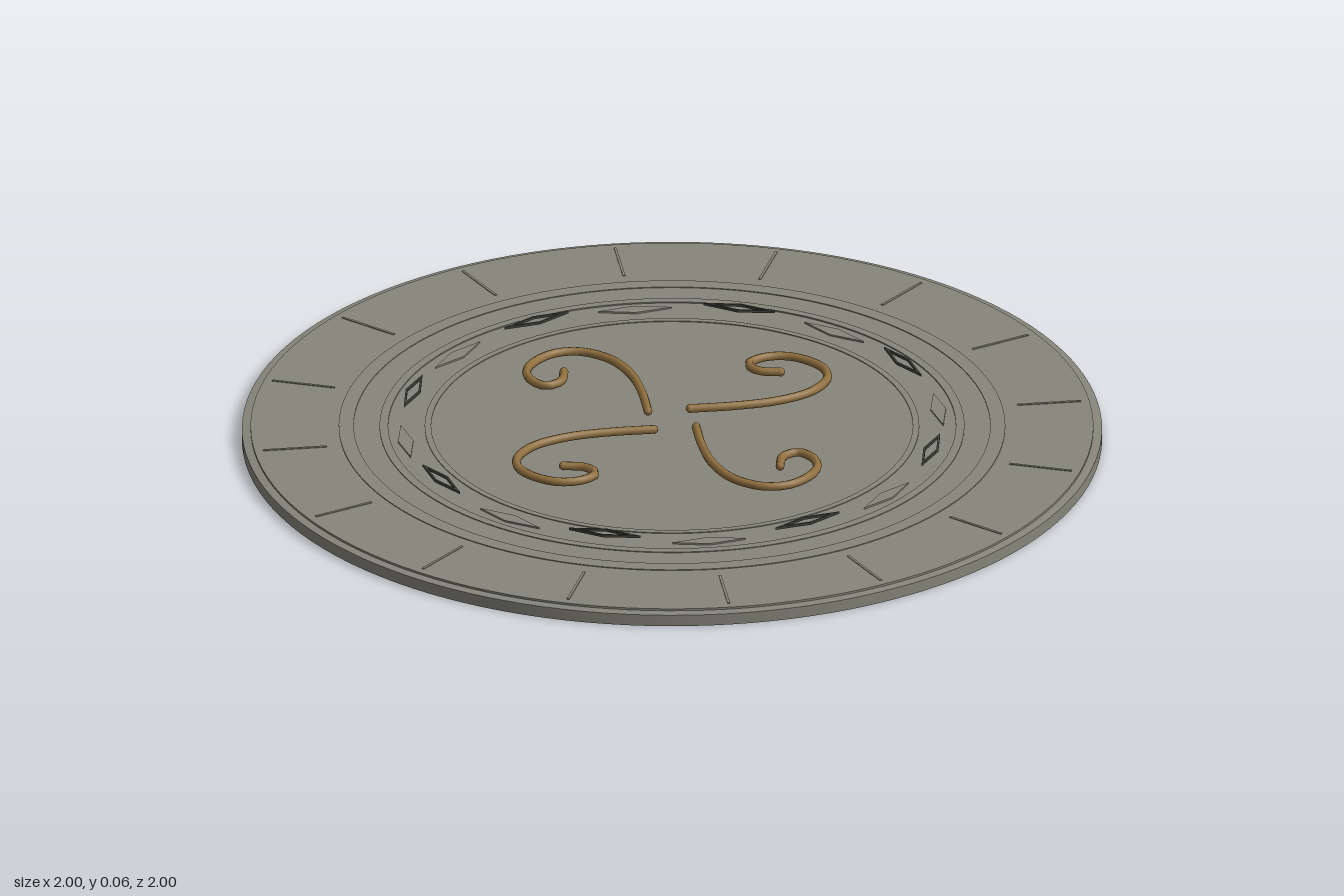
import * as THREE from 'three';
import { toCreasedNormals } from 'three/addons/utils/BufferGeometryUtils.js';

const stone = new THREE.MeshStandardMaterial({ color: 0x87867b });
stone.name = 'stone';
const darkStone = new THREE.MeshStandardMaterial({ color: 0x42423c });
darkStone.name = 'dark stone';
const bronze = new THREE.MeshStandardMaterial({ color: 0x91703f });
bronze.name = 'bronze';

function addMesh(parent, name, geometry, material) {
  const mesh = new THREE.Mesh(geometry, material);
  mesh.name = name;
  parent.add(mesh);
  return mesh;
}

// Four corners of a diamond, long axis along x
function diamondPoints(halfLength, halfWidth) {
  return [[halfLength, 0], [0, halfWidth], [-halfLength, 0], [0, -halfWidth]]
    .map(([x, y]) => new THREE.Vector2(x, y));
}

function diamondGeometry(depth, border) {
  const shape = new THREE.Shape(diamondPoints(0.086, 0.018));
  if (border) shape.holes.push(new THREE.Path(diamondPoints(0.086 - border * 4.5, 0.018 - border)));
  const geometry = new THREE.ExtrudeGeometry(shape, { depth, bevelEnabled: false });
  return geometry.rotateX(-Math.PI / 2);
}

export function createModel() {
  const model = new THREE.Group();
  model.name = 'medallion';

  // Disc with a stepped rim and shallow concentric rings
  const profile = [
    [0, 0], [1, 0], [1, 0.028], [0.98, 0.03], [0.98, 0.035],
    [0.775, 0.035], [0.775, 0.037], [0.74, 0.037], [0.74, 0.035],
    [0.68, 0.035], [0.68, 0.037], [0.66, 0.037], [0.66, 0.034],
    [0.575, 0.034], [0.575, 0.036], [0.56, 0.036], [0.56, 0.034], [0, 0.034],
  ].map(([r, y]) => new THREE.Vector2(r, y));
  addMesh(model, 'disc', toCreasedNormals(new THREE.LatheGeometry(profile, 128), 0.5), stone);

  // Radial ribs on the outer border
  const ribs = new THREE.Group();
  ribs.name = 'radialRibs';
  model.add(ribs);
  const ribGeometry = new THREE.BoxGeometry(0.15, 0.003, 0.006).translate(0.885, 0.0355, 0);
  for (let i = 0; i < 16; i++) {
    addMesh(ribs, 'radialRib', ribGeometry, stone).rotation.y = (i * Math.PI) / 8;
  }

  // Ring of diamonds: flush plates alternating with raised dark frames
  const diamonds = new THREE.Group();
  diamonds.name = 'diamondRing';
  model.add(diamonds);
  const plate = diamondGeometry(0.004, 0).translate(0, 0.034, 0.625);
  const frame = diamondGeometry(0.006, 0.005).translate(0, 0.046, 0.622);
  for (let i = 0; i < 16; i++) {
    const raised = i % 2 === 1;
    const mesh = addMesh(diamonds, raised ? 'diamondFrame' : 'diamondPlate',
      raised ? frame : plate, raised ? darkStone : stone);
    mesh.rotation.y = (i * Math.PI) / 8;
  }

  // Four bronze scrolls turning about the centre
  const scrollPoints = [
    [0, -0.07], [0.07, -0.14], [0.13, -0.215], [0.165, -0.29], [0.17, -0.34],
    [0.158, -0.39], [0.12, -0.428], [0.06, -0.44], [0.005, -0.427], [-0.03, -0.39],
    [-0.036, -0.342], [0.005, -0.327], [0.05, -0.353],
  ].map(([x, z]) => new THREE.Vector3(x, 0.053, z));
  const curve = new THREE.CurvePath();
  for (let i = 1; i < scrollPoints.length; i++) {
    curve.add(new THREE.LineCurve3(scrollPoints[i - 1], scrollPoints[i]));
  }
  const smooth = new THREE.CatmullRomCurve3(scrollPoints, false, 'centripetal');
  const scrollGeometry = new THREE.TubeGeometry(smooth, 36, 0.0105, 8, false);
  const capGeometry = new THREE.SphereGeometry(0.0105, 8, 6);
  for (let i = 0; i < 4; i++) {
    const scroll = new THREE.Group();
    scroll.name = 'scroll';
    scroll.rotation.y = (-i * Math.PI) / 2;
    addMesh(scroll, 'scrollTube', scrollGeometry, bronze);
    for (const end of [scrollPoints[0], scrollPoints[scrollPoints.length - 1]]) {
      addMesh(scroll, 'scrollEnd', capGeometry, bronze).position.copy(end);
    }
    model.add(scroll);
  }
  return model;
}
